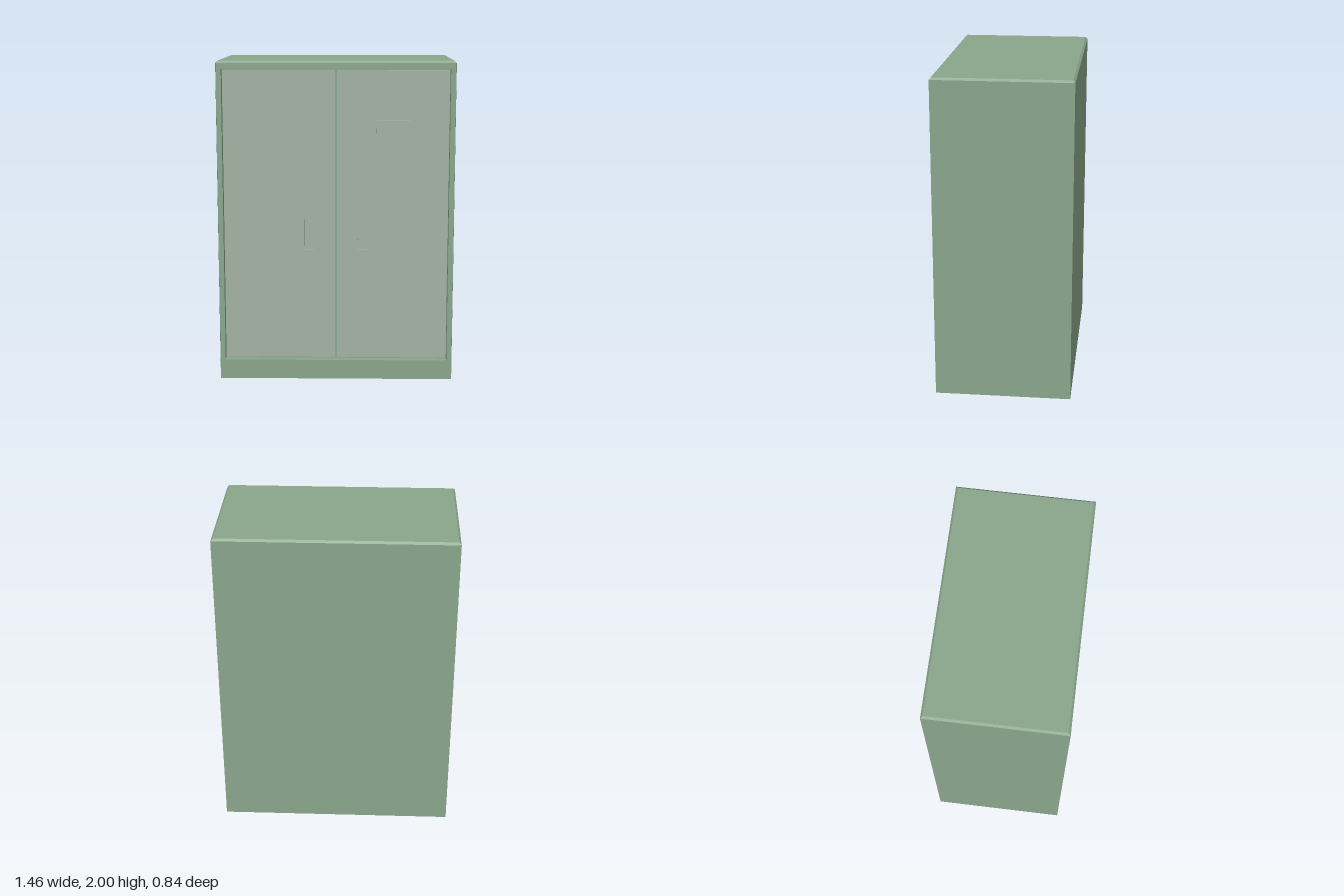
import * as THREE from 'three';

const W = 1.46, D = 0.84, H = 2, BEVEL = 0.013, FLOOR = 0.11;

const green = new THREE.MeshStandardMaterial({ color: 0x8aa68c });
green.name = 'cabinet green';
green.side = THREE.DoubleSide;
const grey = new THREE.MeshStandardMaterial({ color: 0xa3b1a3 });
grey.name = 'door grey green';

// Path tracing a rectangle from its corner coordinates
function rect(x0, y0, x1, y1, Type = THREE.Shape) {
  const p = new Type();
  p.moveTo(x0, y0);
  p.lineTo(x1, y0);
  p.lineTo(x1, y1);
  p.lineTo(x0, y1);
  p.closePath();
  return p;
}

// Rectangular slab with rectangular cut-outs, from z0 forwards
function slab(outer, holes, z0, depth) {
  const shape = rect(...outer);
  shape.holes = holes.map((h) => rect(...h, THREE.Path));
  return new THREE.ExtrudeGeometry(shape, { depth, bevelEnabled: false }).translate(0, 0, z0);
}

export function createModel() {
  const cabinet = new THREE.Group();
  cabinet.name = 'cabinet';
  const add = (name, geometry, material, parent = cabinet) => {
    const mesh = new THREE.Mesh(geometry, material);
    mesh.name = name;
    parent.add(mesh);
    return mesh;
  };

  // Sheet sides and back, open at the bottom
  const wallH = H - BEVEL;
  for (const s of [-1, 1]) {
    add(s > 0 ? 'leftSide' : 'rightSide',
      new THREE.PlaneGeometry(D, wallH).rotateY(s * Math.PI / 2).translate(s * W / 2, wallH / 2, 0), green);
  }
  add('back', new THREE.PlaneGeometry(W, wallH).rotateY(Math.PI).translate(0, wallH / 2, -D / 2), green);

  // Top with chamfered edges: the upper corners are pulled inwards
  const top = new THREE.BoxGeometry(W, BEVEL, D).toNonIndexed();
  const p = top.attributes.position;
  for (let i = 0; i < p.count; i++) {
    if (p.getY(i) > 0) {
      p.setX(i, p.getX(i) - Math.sign(p.getX(i)) * BEVEL);
      p.setZ(i, p.getZ(i) - Math.sign(p.getZ(i)) * BEVEL);
    }
  }
  top.computeVertexNormals();
  add('top', top.translate(0, H - BEVEL / 2, 0), green);

  // Raised floor and the kick plate in front of it
  add('floor', new THREE.PlaneGeometry(W, D).rotateX(Math.PI / 2).translate(0, FLOOR, 0), green);
  add('kickPlate', new THREE.PlaneGeometry(W, FLOOR).translate(0, FLOOR / 2, D / 2), green);

  // Front frame around the recessed doors, with a panel closing the gaps
  add('frontFrame',
    slab([-W / 2 + 0.001, FLOOR, W / 2 - 0.001, wallH], [[-0.697, 0.122, 0.697, 1.95]], 0.37, 0.05), green);
  add('backingPanel', new THREE.PlaneGeometry(1.42, 1.85).translate(0, 1.036, 0.372), green);

  // Doors with a sunken pull and a raised label plate
  for (const s of [-1, 1]) {
    const door = new THREE.Group();
    door.name = s > 0 ? 'leftDoor' : 'rightDoor';
    cabinet.add(door);
    const span = (a, b) => (s > 0 ? [a, b] : [-b, -a]);
    const [d0, d1] = span(0.006, 0.693);
    const [h0, h1] = span(0.133, 0.197);
    add('doorPanel', slab([d0, 0.136, d1, 1.942], [[h0, 0.828, h1, 1.022]], 0.379, 0.021), grey, door);
    add('pullRecess', new THREE.PlaneGeometry(0.08, 0.21).translate(s * 0.165, 0.925, 0.38), grey, door);
    add('labelPlate', new THREE.BoxGeometry(0.206, 0.077, 0.015).translate(s * 0.353, 1.598, 0.4075), grey, door);
  }

  return cabinet;
}
